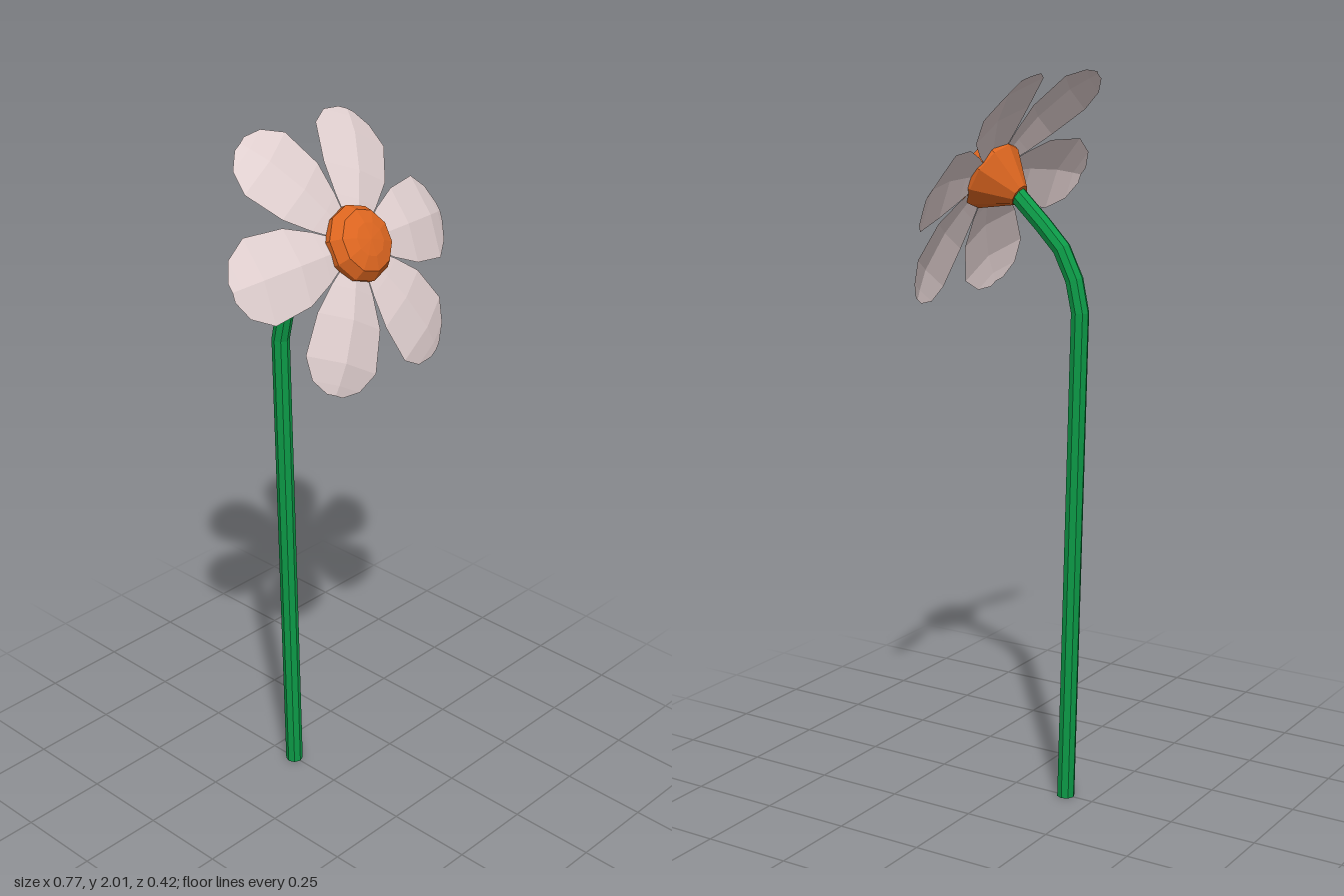
import * as THREE from 'three';

const mat = (name, color, extra = {}) => {
  const m = new THREE.MeshStandardMaterial({ color, flatShading: true, ...extra });
  m.name = name;
  return m;
};

// Moves every vertex of a geometry by a rule
function reshape(geo, rule) {
  const pos = geo.attributes.position;
  for (let i = 0; i < pos.count; i++) {
    pos.setXYZ(i, ...rule(pos.getX(i), pos.getY(i), pos.getZ(i)));
  }
  geo.computeVertexNormals();
  return geo;
}

// Eight-sided stem whose rings follow a bent path of [y, z] points
function stemGeometry() {
  const path = [[0, -0.165], [1.385, -0.2], [1.47, -0.182], [1.55, -0.143], [1.61, -0.085], [1.69, 0]];
  const last = path.length - 1;
  return reshape(new THREE.CylinderGeometry(0.025, 0.025, last, 8, last), (x, y, z) => {
    const i = Math.round(y + last / 2);
    const a = path[Math.max(i - 1, 0)], b = path[Math.min(i + 1, last)];
    let ty = b[0] - a[0], tz = b[1] - a[1];
    if (i === 0) { ty = 1; tz = 0; } // level foot
    const len = Math.hypot(ty, tz);
    return [x, path[i][0] - z * tz / len, path[i][1] + z * ty / len];
  });
}

// Petal pointing along +x: rounded outline, raised midrib, tip curling back
function petalGeometry() {
  // [distance, half width, drop]
  const rows = [[0.04, 0.023, 0], [0.12, 0.068, 0], [0.2, 0.103, 0.003],
    [0.31, 0.115, 0.026], [0.363, 0.077, 0.05], [0.387, 0.025, 0.063]];
  const n = rows.length - 1;
  return reshape(new THREE.PlaneGeometry(n, 2, n, 2), (x, y) => {
    const [r, w, drop] = rows[Math.round(x + n / 2)];
    return [r, y * w, -drop - Math.abs(y) * w * 0.17];
  });
}

export function createModel() {
  const green = mat('stem green', 0x0c9a47);
  const orange = mat('centre orange', 0xdd6620);
  const pale = mat('petal pale pink', 0xe0cfcf, { side: THREE.DoubleSide });

  const model = new THREE.Group();
  model.name = 'flower';

  const stem = new THREE.Mesh(stemGeometry(), green);
  stem.name = 'stem';
  model.add(stem);

  // Flower head, tilted upward
  const head = new THREE.Group();
  head.name = 'flowerHead';
  head.position.set(0, 1.735, 0.08);
  head.rotation.x = -0.51;
  model.add(head);

  // Centre: domed front and a cone tapering back to the stem
  const profile = [[0, -0.107], [0.03, -0.105], [0.1, -0.012], [0.102, 0.012], [0.083, 0.04], [0.045, 0.052], [0, 0.056]]
    .map(([r, h]) => new THREE.Vector2(r, h));
  const centre = new THREE.Mesh(new THREE.LatheGeometry(profile, 10).rotateX(Math.PI / 2), orange);
  centre.name = 'flowerCentre';
  head.add(centre);

  // Six petals around the centre
  const petalGeo = petalGeometry();
  for (let i = 0; i < 6; i++) {
    const petal = new THREE.Mesh(petalGeo, pale);
    petal.name = `petal${i + 1}`;
    petal.rotation.z = i * Math.PI / 3;
    head.add(petal);
  }
  return model;
}
